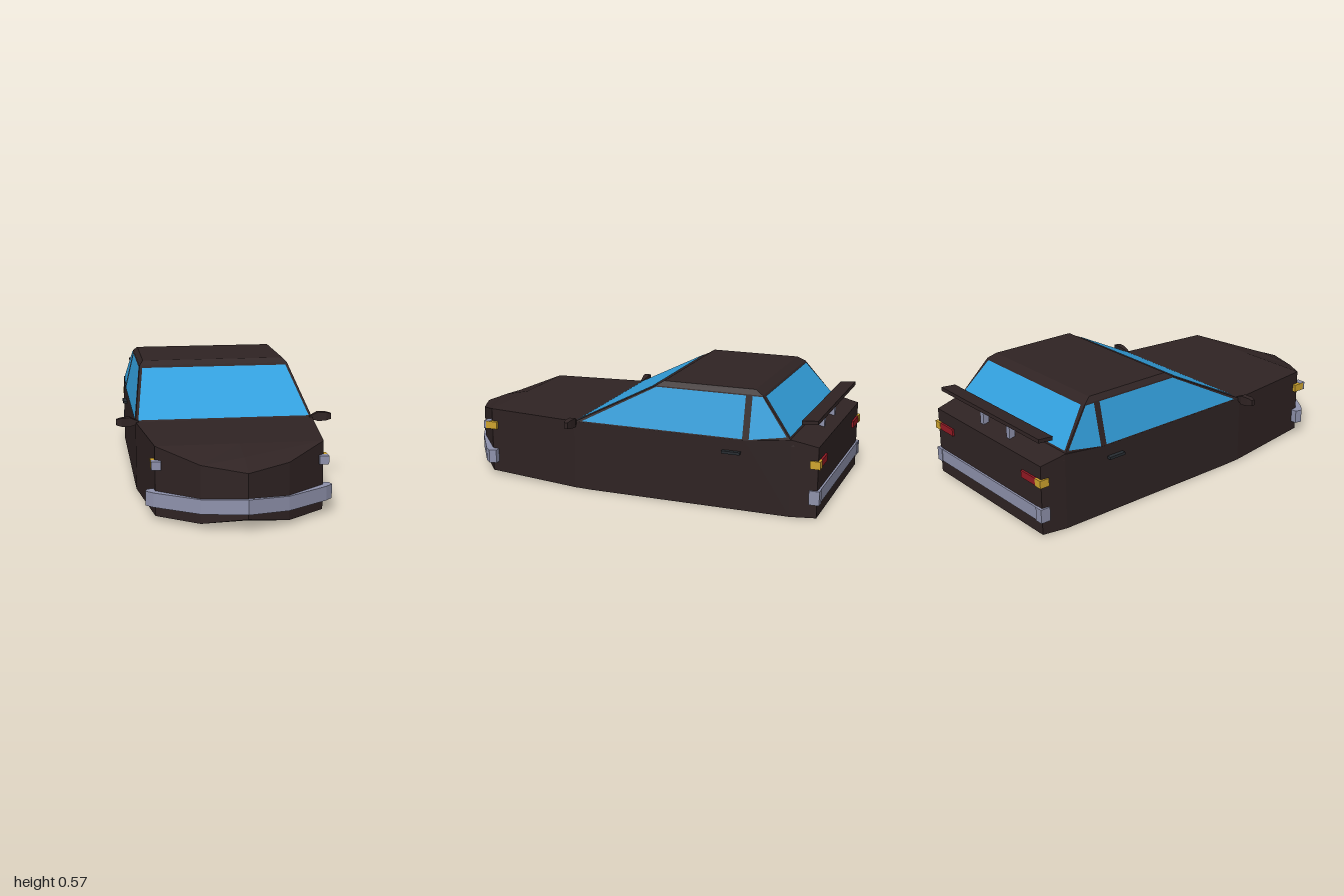
import * as THREE from 'three';

const mat = (name, color) => {
  const m = new THREE.MeshStandardMaterial({ color });
  m.name = name;
  return m;
};

// Flat-faced surface from polygons, each fanned into triangles
function faceted(name, polygons, material) {
  const pos = [];
  const v = (p) => new THREE.Vector3(...p);
  for (const poly of polygons) {
    for (let i = 1; i < poly.length - 1; i++) {
      const tri = [poly[0], poly[i], poly[i + 1]];
      if (new THREE.Triangle(...tri.map(v)).getArea() > 1e-7) pos.push(...tri.flat());
    }
  }
  const geo = new THREE.BufferGeometry();
  geo.setAttribute('position', new THREE.Float32BufferAttribute(pos, 3));
  geo.computeVertexNormals();
  const mesh = new THREE.Mesh(geo, material);
  mesh.name = name;
  return mesh;
}

// Closed loft; rings run counter-clockwise seen from the end
function loft(name, rings, material) {
  const polys = [[...rings[0]].reverse(), rings[rings.length - 1]];
  for (let r = 0; r < rings.length - 1; r++) {
    const a = rings[r], b = rings[r + 1], n = a.length;
    for (let i = 0; i < n; i++) polys.push([a[i], a[(i + 1) % n], b[(i + 1) % n], b[i]]);
  }
  return faceted(name, polys, material);
}

// Box from its minimum and maximum corners
function box(name, [x0, y0, z0], [x1, y1, z1], material) {
  const mesh = new THREE.Mesh(new THREE.BoxGeometry(x1 - x0, y1 - y0, z1 - z0), material);
  mesh.position.set((x0 + x1) / 2, (y0 + y1) / 2, (z0 + z1) / 2);
  mesh.name = name;
  return mesh;
}

export function createModel() {
  const car = new THREE.Group();
  car.name = 'car';
  const paint = mat('dark paint', 0x2f2323);
  const glass = mat('blue glass', 0x329fdc);
  const grey = mat('light grey', 0x8f92ac);
  const amber = mat('amber', 0xd0a52e);
  const red = mat('red', 0x951a24);
  const trim = mat('dark trim', 0x272c31);

  // Lower body: half width, z, bottom, top, centre z, centre top
  const stations = [
    [0.43, -0.98, 0.005, 0.345, -0.98, 0.345],
    [0.445, -0.855, 0, 0.372, -0.855, 0.372],
    [0.445, -0.63, 0, 0.345, -0.63, 0.345],
    [0.445, 0.15, 0, 0.345, 0.15, 0.345],
    [0.445, 0.24, 0.002, 0.345, 0.24, 0.345],
    [0.39, 0.735, 0.016, 0.345, 0.735, 0.345],
    [0.2, 0.89, 0.02, 0.29, 0.87, 0.315],
    [0, 0.98, 0.06, 0.27, 0.98, 0.27],
  ];
  car.add(loft('lowerBody', stations.map(([x, z, b, t, cz, ct]) => [
    [x, b, z], [x, t, z], [0, ct, cz], [-x, t, z], [-x, b, z], [0, b, cz],
  ]), paint));

  // Cabin: base, shoulder of the roof, roof top
  const cabinRing = ([x, y, zf, zr]) => [[x, y, zf], [x, y, zr], [-x, y, zr], [-x, y, zf]];
  car.add(loft('cabin', [
    [0.445, 0.343, 0.24, -0.87],
    [0.395, 0.553, -0.17, -0.7],
    [0.375, 0.575, -0.205, -0.66],
  ].map(cabinRing), paint));

  // Windscreen and rear window, raised slightly off the cabin
  const t = (y) => (y - 0.343) / 0.21;
  const zFront = (y) => 0.24 - 0.41 * t(y);
  const zRear = (y) => -0.87 + 0.17 * t(y);
  const pane = (y0, x0, y1, x1, z, s) => {
    const p = [[-x0, y0], [x0, y0], [x1, y1], [-x1, y1]]
      .map(([x, y]) => [x, y + 0.002, z(y) + s * 0.003]);
    return [s > 0 ? p : p.reverse()];
  };
  car.add(faceted('windscreen', pane(0.349, 0.43, 0.543, 0.382, zFront, 1), glass));
  car.add(faceted('rearWindow', pane(0.378, 0.428, 0.546, 0.375, zRear, -1), glass));

  // Side windows as z, y outlines on the sloping cabin side
  const sideX = (y) => 0.445 - 0.05 * t(y) + 0.003;
  const sideWindows = {
    sideWindow: [[0.2, 0.35], [-0.62, 0.35], [-0.62, 0.548], [-0.175, 0.548]],
    quarterWindow: [[-0.652, 0.35], [-0.83, 0.38], [-0.7, 0.548], [-0.652, 0.548]],
  };

  // Parts repeated on both sides
  for (const side of [1, -1]) {
    const half = new THREE.Group();
    half.name = side > 0 ? 'leftSide' : 'rightSide';
    half.scale.x = side;
    for (const [name, pts] of Object.entries(sideWindows)) {
      half.add(faceted(name, [pts.map(([z, y]) => [sideX(y), y, z])], glass));
    }
    // Door mirror: x, bottom, top, front z, back z
    half.add(loft('doorMirror', [
      [0.43, 0.338, 0.35, 0.248, 0.235],
      [0.475, 0.323, 0.37, 0.25, 0.22],
      [0.515, 0.327, 0.368, 0.256, 0.226],
      [0.54, 0.333, 0.362, 0.25, 0.232],
    ].map(([x, b, tp, f, r]) => [[x, b, f], [x, b, r], [x, tp, r], [x, tp, f]]), paint));
    half.add(box('doorHandle', [0.44, 0.276, -0.615], [0.466, 0.289, -0.525], trim));
    half.add(box('frontIndicator', [0.37, 0.243, 0.7], [0.41, 0.281, 0.762], amber));
    half.add(box('headlight', [0.365, 0.242, 0.74], [0.409, 0.282, 0.774], grey));
    half.add(box('rearIndicator', [0.4, 0.243, -0.992], [0.441, 0.281, -0.943], amber));
    half.add(box('tailLight', [0.29, 0.245, -0.99], [0.402, 0.28, -0.97], red));
    half.add(box('rearBumperEnd', [0.4, 0.07, -0.993], [0.441, 0.138, -0.943], grey));
    half.add(box('spoilerPost', [0.095, 0.345, -0.93], [0.122, 0.445, -0.9], grey));
    car.add(half);
  }

  // Front bumper: outer x, z, inner x, z, bottom, top
  const bumperHalf = [
    [0.425, 0.7, 0.385, 0.7, 0.068, 0.136],
    [0.434, 0.735, 0.385, 0.72, 0.068, 0.136],
    [0.4, 0.77, 0.37, 0.73, 0.068, 0.136],
    [0.2, 0.902, 0.19, 0.86, 0.068, 0.136],
  ];
  const bumperPath = [
    ...bumperHalf.map(([x, z, ix, iz, b, tp]) => [-x, z, -ix, iz, b, tp]),
    [0, 1, 0, 0.95, 0.087, 0.156],
    ...[...bumperHalf].reverse(),
  ];
  car.add(loft('frontBumper', bumperPath.map(([x, z, ix, iz, b, tp]) => [
    [x, b, z], [ix, b, iz], [ix, tp, iz], [x, tp, z],
  ]), grey));
  car.add(box('rearBumper', [-0.42, 0.072, -0.99], [0.42, 0.136, -0.96], grey));

  // Rear spoiler blade, tilted up at the back
  const spoiler = box('spoiler', [-0.405, 0.441, -0.967], [0.405, 0.459, -0.89], paint);
  spoiler.rotation.x = 0.09;
  car.add(spoiler);
  return car;
}
